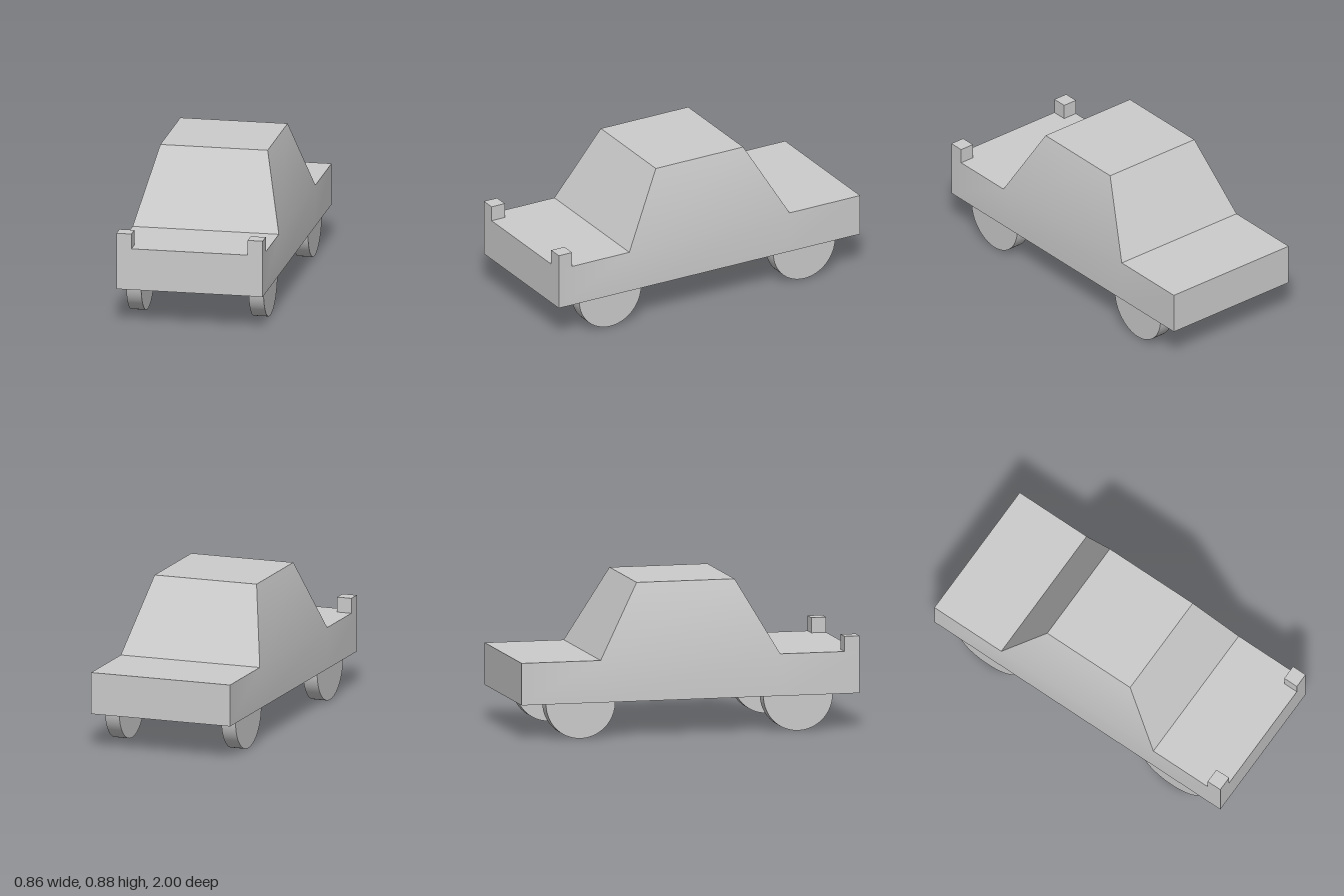
import * as THREE from 'three';
import { mergeGeometries, toCreasedNormals } from 'three/addons/utils/BufferGeometryUtils.js';

const HALF_WIDTH = 0.428, FLOOR = 0.208, DECK = 0.452, ROOF = 0.88;
const CABIN_Z = 0.532, ROOF_X = 0.314, ROOF_Z = 0.29;

// Moves each vertex of a geometry by a rule
function reshape(geometry, rule) {
  const p = geometry.attributes.position;
  const v = new THREE.Vector3();
  for (let i = 0; i < p.count; i++) {
    rule(v.fromBufferAttribute(p, i));
    p.setXYZ(i, v.x, v.y, v.z);
  }
  return geometry;
}

// Box given by its low and high corners
function boxBetween(x0, y0, z0, x1, y1, z1, depthSegments = 1) {
  return new THREE.BoxGeometry(x1 - x0, y1 - y0, z1 - z0, 1, 1, depthSegments)
    .translate((x0 + x1) / 2, (y0 + y1) / 2, (z0 + z1) / 2);
}

export function createModel() {
  const group = new THREE.Group();
  const material = new THREE.MeshStandardMaterial({ color: 0xcccccc });
  const add = (name, geometry) => {
    const mesh = new THREE.Mesh(geometry, material);
    mesh.name = name;
    group.add(mesh);
    return mesh;
  };

  // Lower body, with cross lines where the cabin meets the deck
  const lower = reshape(boxBetween(-HALF_WIDTH, FLOOR, -1, HALF_WIDTH, DECK, 1, 3), (v) => {
    if (Math.abs(v.z) < 0.9) v.z = Math.sign(v.z) * CABIN_Z;
  });

  // Cabin tapering to the roof
  const cabin = reshape(boxBetween(-HALF_WIDTH, DECK, -CABIN_Z, HALF_WIDTH, ROOF, CABIN_Z), (v) => {
    if (v.y > DECK + 0.1) {
      v.x = Math.sign(v.x) * ROOF_X;
      v.z = Math.sign(v.z) * ROOF_Z;
    }
  });

  // One shell, so the sides shade smoothly from body to cabin
  add('carBody', toCreasedNormals(mergeGeometries([lower, cabin]), Math.PI / 6));

  // Headlight blocks and wheels
  const headlight = boxBetween(-0.044, DECK, 0.912, 0.044, 0.54, 1);
  const wheel = new THREE.CylinderGeometry(0.205, 0.205, 0.087, 64).rotateZ(Math.PI / 2);
  for (const [side, s] of [['left', 1], ['right', -1]]) {
    add(side + 'Headlight', headlight).position.x = s * (HALF_WIDTH - 0.044);
    for (const [end, e] of [['Front', 1], ['Rear', -1]]) {
      add(side + end + 'Wheel', wheel).position.set(s * 0.3585, 0.205, e * 0.644);
    }
  }
  return group;
}
